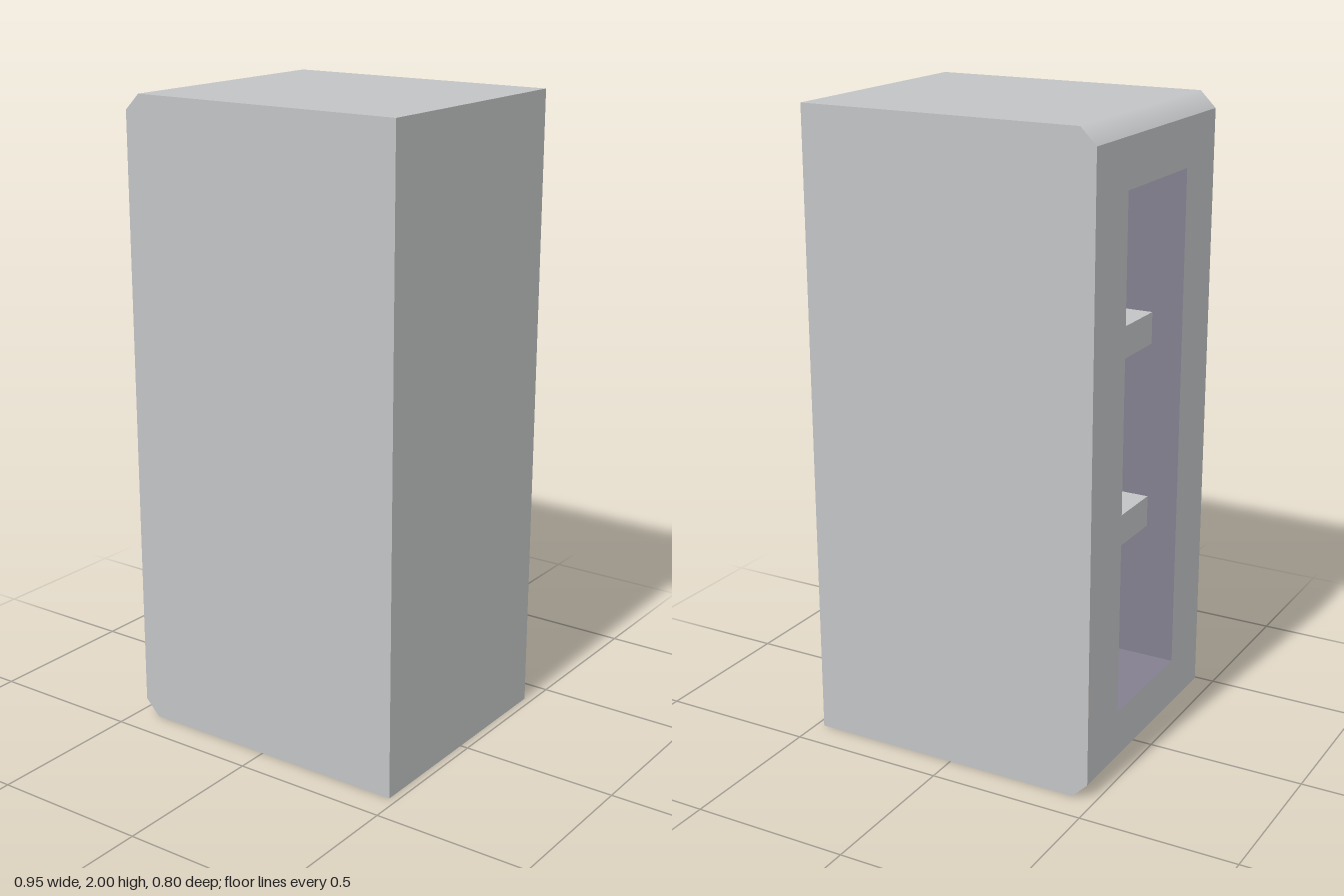
import * as THREE from 'three';

const W = 0.475, D = 0.4, H = 2, C = 0.05; // half width, half depth, height, chamfer
const OPEN = { z: 0.2, y0: 0.2, y1: 1.8, back: 0.275 };

// Smooth strip that follows an x/y path and spans the full depth
function strip(path) {
  const g = new THREE.PlaneGeometry(1, 1, path.length - 1, 1);
  const p = g.attributes.position;
  for (let i = 0; i < p.count; i++) {
    const [x, y] = path[i % path.length];
    p.setXYZ(i, x, y, i < path.length ? -D : D);
  }
  g.computeVertexNormals();
  return g;
}

// Box seen from the inside, without its -x wall
function pocket(w, h, d) {
  const g = new THREE.BoxGeometry(w, h, d);
  const idx = Array.from(g.index.array);
  idx.splice(6, 6);
  g.setIndex(idx.reverse());
  g.clearGroups();
  const flat = g.toNonIndexed();
  flat.computeVertexNormals();
  return flat;
}

export function createModel() {
  const group = new THREE.Group();
  const shell = new THREE.MeshStandardMaterial({ color: 0xc2c3c4 });
  shell.name = 'light grey shell';
  const lining = new THREE.MeshStandardMaterial({ color: 0x837f90 });
  lining.name = 'purple grey lining';

  const add = (name, geometry, material) => {
    const mesh = new THREE.Mesh(geometry, material);
    mesh.name = name;
    group.add(mesh);
    return mesh;
  };

  // Outer panels, with the chamfers rounded into top and bottom
  add('topPanel', strip([[-W, H - C], [-W + C, H], [W, H]]), shell);
  add('bottomPanel', strip([[W, 0], [-W + C, 0], [-W, C]]), shell);
  add('leftPanel', strip([[W, H], [W, 0]]), shell);

  // Front and back panels
  const outline = (s) => new THREE.Shape([
    [-W * s, C], [(-W + C) * s, 0], [W * s, 0],
    [W * s, H], [(-W + C) * s, H], [-W * s, H - C],
  ].map(([x, y]) => new THREE.Vector2(x, y)));
  add('frontPanel', new THREE.ShapeGeometry(outline(1)), shell).position.z = D;
  const back = add('backPanel', new THREE.ShapeGeometry(outline(-1)), shell);
  back.rotation.y = Math.PI;
  back.position.z = -D;

  // Frame around the opening
  const rect = (z, y0, y1) => [[-z, y0], [z, y0], [z, y1], [-z, y1]]
    .map(([a, b]) => new THREE.Vector2(a, b));
  const frameShape = new THREE.Shape(rect(D, C, H - C));
  frameShape.holes.push(new THREE.Path(rect(OPEN.z, OPEN.y0, OPEN.y1)));
  const frame = add('openingFrame', new THREE.ShapeGeometry(frameShape), shell);
  frame.rotation.y = -Math.PI / 2;
  frame.position.x = -W;

  // Recess behind the frame
  const depth = OPEN.back + W;
  add('recess', pocket(depth, OPEN.y1 - OPEN.y0, OPEN.z * 2), lining)
    .position.set(OPEN.back - depth / 2, 1, 0);

  // Two shelves, set back from the opening
  const shelfDepth = depth - 0.1;
  for (const [name, y] of [['lowerShelf', 0.7], ['upperShelf', 1.3]]) {
    add(name, new THREE.BoxGeometry(shelfDepth, 0.1, OPEN.z * 2), shell)
      .position.set(OPEN.back - shelfDepth / 2, y, 0);
  }
  return group;
}
